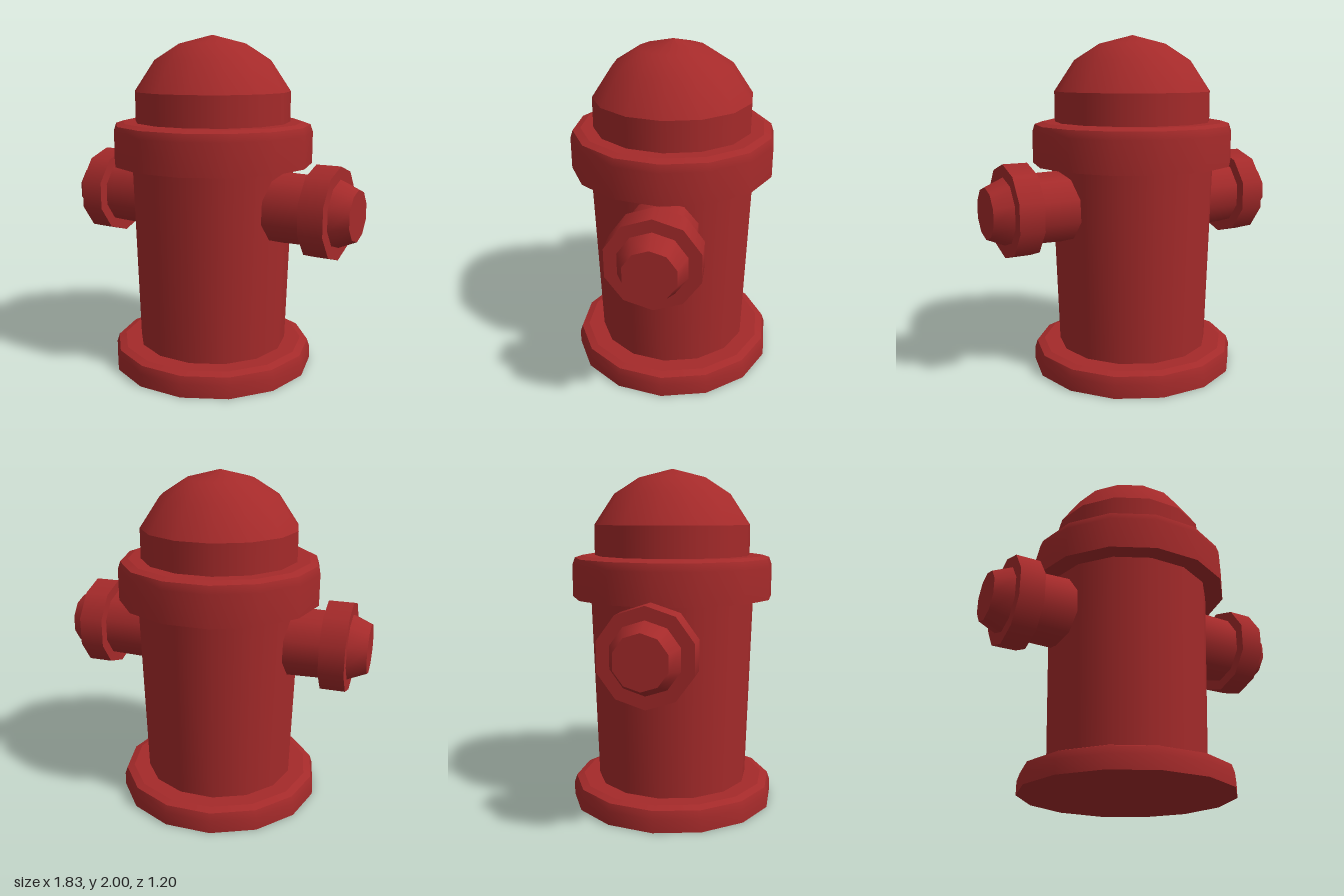
import * as THREE from 'three';

const red = new THREE.MeshStandardMaterial({ color: 0xa52a2a });

// Turned part: each run of [radius, height] points is smooth, edges between runs stay sharp.
function turned(name, sides, runs) {
  const part = new THREE.Group();
  part.name = name;
  runs.forEach((run, i) => {
    const points = run.map(([r, h]) => new THREE.Vector2(r, h));
    const mesh = new THREE.Mesh(new THREE.LatheGeometry(points, sides, Math.PI / 2), red);
    mesh.name = `${name}Surface${i + 1}`;
    part.add(mesh);
  });
  return part;
}

// Splits a profile so that every segment has its own sharp edges.
const facets = (profile) => profile.slice(1).map((p, i) => [profile[i], p]);

// Flat-bottomed ring with a softened upper rim.
function rimmed(name, r, y0, y1) {
  return turned(name, 14, [
    [[0, y0], [r, y0]],
    [[r, y0], [r, y1 - 0.06], [r - 0.015, y1 - 0.015]],
    [[r - 0.015, y1 - 0.015], [r - 0.06, y1]],
    [[r - 0.06, y1], [0, y1]],
  ]);
}

// Side outlet: neck, wide flange and tapered cap, pointing along +y before rotation.
function outlet(name, side) {
  const part = turned(name, 10, facets([
    [0.213, 0.36], [0.205, 0.665], [0.268, 0.665], [0.268, 0.81],
    [0.195, 0.81], [0.148, 0.917], [0, 0.917],
  ]));
  part.rotation.z = -side * Math.PI / 2;
  part.position.set(0, 1.018, 0.0075);
  return part;
}

export function createModel() {
  const model = new THREE.Group();
  model.name = 'fireHydrant';

  // Upright column
  const column = new THREE.Group();
  column.name = 'column';
  column.position.x = -0.01;
  column.add(
    rimmed('base', 0.615, 0, 0.138),
    turned('barrel', 14, [[[0.455, 0.12], [0.491, 1.26]]]),
    rimmed('collar', 0.6, 1.25, 1.497),
    turned('dome', 14, [
      [[0.465, 1.48], [0.465, 1.675]],
      [[0.465, 1.675], [0.345, 1.855], [0.197, 1.95], [0, 2]],
    ]),
  );

  // Outlets on both sides
  model.add(column, outlet('leftOutlet', 1), outlet('rightOutlet', -1));
  return model;
}
